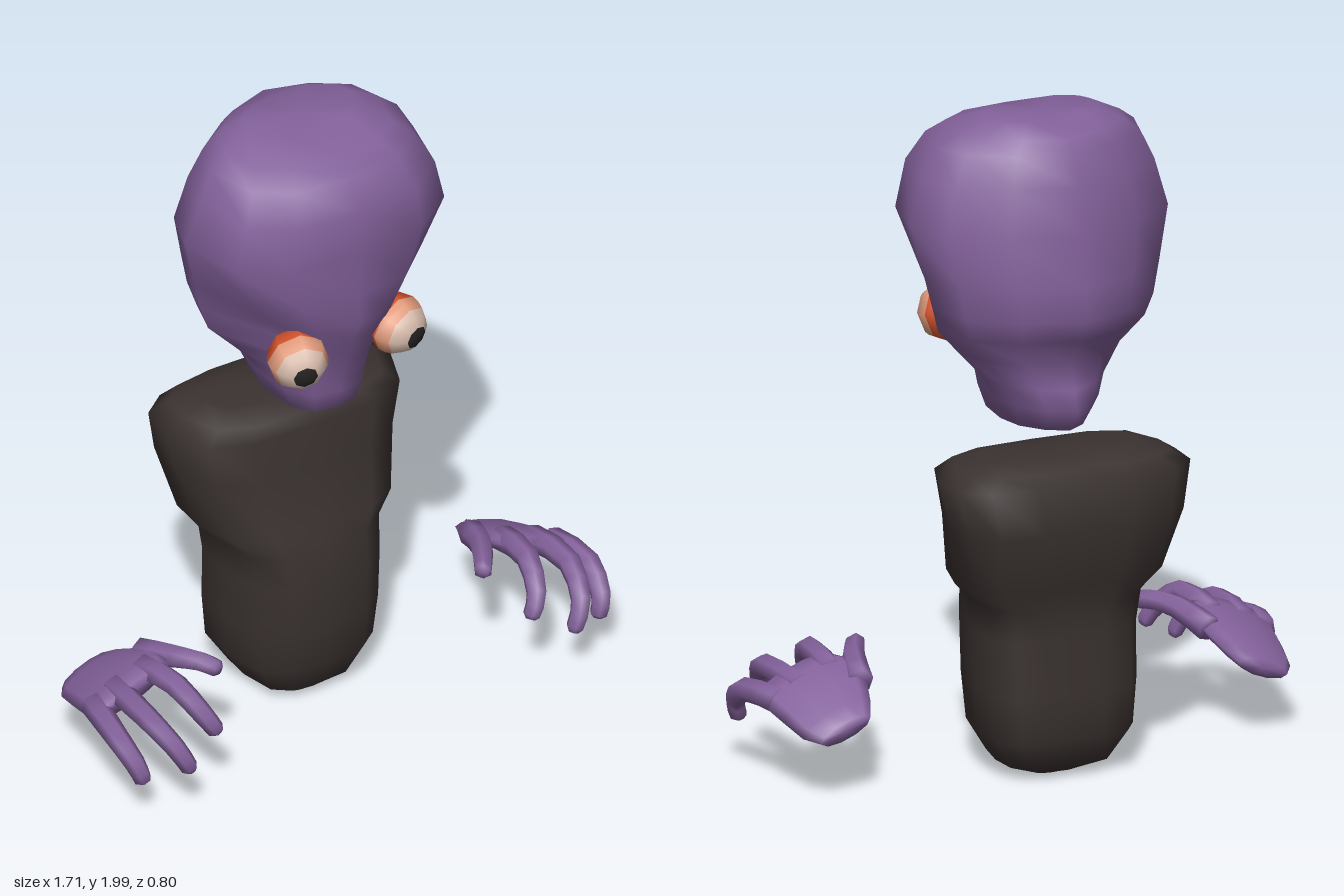
import * as THREE from 'three';

const mat = (name, color) => Object.assign(new THREE.MeshStandardMaterial({ color }), { name });
const V = (x, y, z) => new THREE.Vector3(x, y, z);

// Skin a list of equal-sized rings, closing both ends with a fan
function loft(rings) {
  const n = rings[0].length, last = rings.length - 1;
  const points = rings.flat(), index = [];
  for (let i = 0; i < last; i++) {
    for (let j = 0; j < n; j++) {
      const k = (j + 1) % n;
      const a = i * n + j, b = i * n + k, c = a + n, d = b + n;
      index.push(a, b, c, b, d, c);
    }
  }
  const centre = ring => ring.reduce((s, p) => s.add(p), V(0, 0, 0)).divideScalar(n);
  const start = points.length, end = start + 1;
  const all = [...points, centre(rings[0]), centre(rings[last])];
  for (let j = 0; j < n; j++) {
    const k = (j + 1) % n;
    index.push(start, k, j, end, last * n + j, last * n + k);
  }
  const g = new THREE.BufferGeometry().setFromPoints(all);
  g.setIndex(index);
  g.computeVertexNormals();
  return g;
}

// Horizontal cross-sections: rows of [y, half width, back z, front z, front pinch]
function body(rows, half, dip) {
  const section = [...half, ...half.slice(1, -1).reverse().map(([x, z]) => [-x, z])];
  return loft(rows.map(([y, w, back, front, pinch = 0], i) => section.map(([x, z]) => {
    const narrow = z > 0.05 ? 1 - 0.52 * pinch : 1;
    const drop = i === rows.length - 1 && x === 0 ? dip : 0;
    return V(x * w * narrow, y - drop, (back + front) / 2 + z * (front - back) / 2);
  })));
}

// Mirror rings to the other side while keeping the faces outward
const mirrorRings = (rings, side) => side > 0 ? rings
  : rings.map(r => r.map(p => V(-p.x, p.y, p.z)).reverse());

const ACROSS = V(0.93, -0.36, 0).normalize();   // hand tilt, inner edge higher
const ABOVE = V(0.36, 0.93, 0).normalize();

// Palm: rows of [centre x, y, z, half width, half thickness]
function palmRings() {
  const rows = [
    [0.68, 0.22, -0.17, 0.085, 0.026],
    [0.685, 0.24, -0.12, 0.118, 0.035],
    [0.68, 0.278, -0.03, 0.145, 0.038],
    [0.69, 0.305, 0.06, 0.15, 0.04],
    [0.705, 0.312, 0.12, 0.135, 0.032],
  ];
  return rows.map(([x, y, z, w, t]) => Array.from({ length: 10 }, (_, j) => {
    const a = j / 10 * Math.PI * 2;
    return V(x, y, z).addScaledVector(ACROSS, w * Math.cos(a)).addScaledVector(ABOVE, t * Math.sin(a));
  }));
}

// Tapered finger along a curve, with a rounded tip
function fingerRings(path, r0, r1) {
  const curve = new THREE.CatmullRomCurve3(path.map(p => V(...p)));
  const steps = [0, 0.18, 0.36, 0.5, 0.64, 0.8, 0.94, 1];
  return steps.map((t, i) => {
    const d = curve.getTangent(t);
    const n = ACROSS.clone().addScaledVector(d, -ACROSS.dot(d)).normalize();
    const b = d.clone().cross(n);
    const r = (r0 + (r1 - r0) * t) * (i === steps.length - 1 ? 0.55 : 1);
    return Array.from({ length: 6 }, (_, j) => {
      const a = j / 6 * Math.PI * 2;
      return curve.getPoint(t).addScaledVector(n, r * Math.cos(a)).addScaledVector(b, r * Math.sin(a));
    });
  });
}

const FINGERS = {
  thumb: [[0.57, 0.32, -0.04], [0.535, 0.355, 0.07], [0.485, 0.365, 0.16], [0.455, 0.355, 0.21]],
  indexFinger: [[0.62, 0.335, 0.05], [0.61, 0.36, 0.2], [0.575, 0.295, 0.31], [0.54, 0.235, 0.33]],
  middleFinger: [[0.72, 0.3, 0.05], [0.735, 0.315, 0.23], [0.7, 0.25, 0.355], [0.66, 0.17, 0.375]],
  outerFinger: [[0.79, 0.265, 0.05], [0.82, 0.265, 0.2], [0.805, 0.2, 0.3], [0.785, 0.14, 0.312]],
};

export function createModel() {
  const model = new THREE.Group();
  model.name = 'character';
  const skin = mat('purple skin', 0x83619b);
  const cloth = mat('dark cloth', 0x3a3230);
  const eyeWhite = mat('eye white', 0xdcbfb0);
  const eyePeach = mat('eye peach', 0xe39c7c);
  const eyeRed = mat('eye red', 0xd9542e);
  const black = mat('pupil black', 0x262423);

  const add = (parent, name, geometry, material) => {
    const m = new THREE.Mesh(geometry, material);
    m.name = name;
    parent.add(m);
    return m;
  };

  // Head with bulging skull, pinched face and narrow jaw
  add(model, 'head', body([
    [1.04, 0.07, -0.12, 0.08],
    [1.07, 0.125, -0.27, 0.13],
    [1.14, 0.152, -0.32, 0.15],
    [1.2, 0.18, -0.3, 0.158, 0.2],
    [1.28, 0.25, -0.285, 0.19, 0.7],
    [1.36, 0.325, -0.34, 0.22, 0.85],
    [1.43, 0.345, -0.38, 0.245, 0.65],
    [1.53, 0.37, -0.375, 0.25, 0.25],
    [1.69, 0.41, -0.36, 0.26],
    [1.83, 0.37, -0.335, 0.26],
    [1.92, 0.32, -0.295, 0.2],
    [1.96, 0.265, -0.27, 0.14],
    [2, 0.18, -0.2, 0.03],
  ], [[0, 1], [0.55, 0.93], [0.88, 0.63], [1, 0], [0.88, -0.45], [0.5, -0.8], [0, -1]], 0.02), skin);

  // Torso with broad shoulders stepping in to the waist
  add(model, 'torso', body([
    [0.01, 0.08, -0.2, 0],
    [0.045, 0.165, -0.27, 0.04],
    [0.14, 0.225, -0.32, 0.08],
    [0.28, 0.235, -0.33, 0.1],
    [0.45, 0.24, -0.315, 0.1],
    [0.55, 0.25, -0.325, 0.08],
    [0.61, 0.31, -0.345, 0.065],
    [0.8, 0.355, -0.4, 0.015],
    [0.94, 0.385, -0.38, 0.01],
    [0.975, 0.33, -0.35, -0.02],
    [1, 0.25, -0.28, -0.1],
  ], [[0, 1], [0.55, 0.96], [0.86, 0.7], [1, 0], [0.98, -0.6], [0.78, -0.9], [0.4, -1], [0, -0.98]], 0.012), cloth);

  for (const side of [1, -1]) {
    const word = side > 0 ? 'left' : 'right';

    // Eye: one faceted ball cut into colour bands around the gaze axis
    const eye = new THREE.Group();
    eye.name = word + 'Eye';
    const bands = [
      ['pupil', 0, 0.42, 1, black], ['eyeWhite', 0.42, 1.05, 2, eyeWhite],
      ['eyeRim', 1.05, 1.57, 1, eyePeach], ['eyeBack', 1.57, Math.PI, 3, eyeRed],
    ];
    for (const [name, from, to, rows, material] of bands) {
      const g = new THREE.SphereGeometry(0.092, 8, rows, 0, Math.PI * 2, from, to - from);
      add(eye, name, g.rotateX(Math.PI / 2), material);
    }
    eye.position.set(side * 0.17, 1.335, 0.18);
    eye.rotation.set(0.18, side * 0.26, 0);
    model.add(eye);

    // Floating hand: palm and four digits
    const hand = new THREE.Group();
    hand.name = word + 'Hand';
    add(hand, 'palm', loft(mirrorRings(palmRings(), side)), skin);
    for (const [name, path] of Object.entries(FINGERS)) {
      add(hand, name, loft(mirrorRings(fingerRings(path, 0.041, 0.026), side)), skin);
    }
    model.add(hand);
  }
  return model;
}
